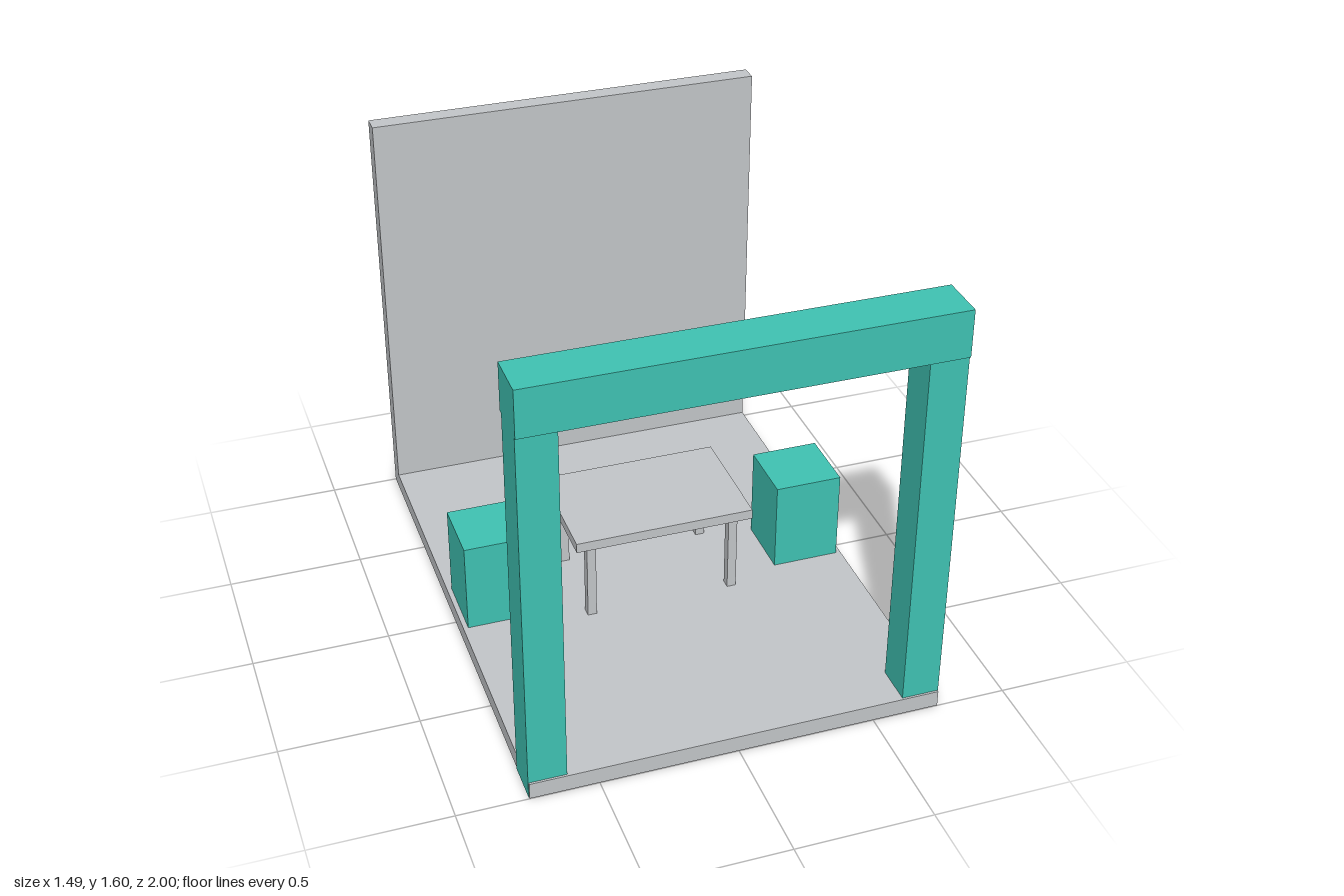
import * as THREE from 'three';

export function createModel() {
  const model = new THREE.Group();
  model.name = 'pavilion';

  const teal = new THREE.MeshStandardMaterial({ color: 0x40c4b4 });
  teal.name = 'teal';
  const grey = new THREE.MeshStandardMaterial({ color: 0xc4c7ca });
  grey.name = 'light grey';

  // Box given by its minimum and maximum on each axis
  function box(name, material, [x0, x1], [y0, y1], [z0, z1], parent = model) {
    const mesh = new THREE.Mesh(new THREE.BoxGeometry(x1 - x0, y1 - y0, z1 - z0), material);
    mesh.position.set((x0 + x1) / 2, (y0 + y1) / 2, (z0 + z1) / 2);
    mesh.name = name;
    parent.add(mesh);
    return mesh;
  }
  // Range of an interval mirrored to the given side
  const side = (s, a, b) => (s > 0 ? [a, b] : [-b, -a]);

  const floorTop = 0.063;

  // Floor slab and back wall
  box('floor', grey, [-0.745, 0.745], [0.001, floorTop], [-1, 1]);
  box('backWall', grey, [-0.745, 0.745], [floorTop, 1.598], [-1, -0.931]);

  // Front gateway: two posts set through the floor, with a beam on top
  const gateway = new THREE.Group();
  gateway.name = 'gateway';
  model.add(gateway);
  for (const s of [1, -1]) {
    box(s > 0 ? 'leftPost' : 'rightPost', teal, side(s, 0.611, 0.747), [0, 1.427], [0.844, 0.992], gateway);
  }
  box('beam', teal, [-0.747, 0.747], [1.427, 1.6], [0.828, 1], gateway);

  // Table with four square legs
  const table = new THREE.Group();
  table.name = 'table';
  model.add(table);
  box('tableTop', grey, [-0.337, 0.337], [0.377, 0.415], [-0.223, 0.223], table);
  for (const sx of [1, -1]) {
    for (const sz of [1, -1]) {
      box('tableLeg', grey, side(sx, 0.256, 0.29), [floorTop, 0.377], side(sz, 0.157, 0.193), table);
    }
  }

  // Block seats at both ends of the table
  for (const s of [1, -1]) {
    box(s > 0 ? 'leftSeat' : 'rightSeat', teal, side(s, 0.474, 0.727), [floorTop, 0.411], [-0.125, 0.125]);
  }

  return model;
}
